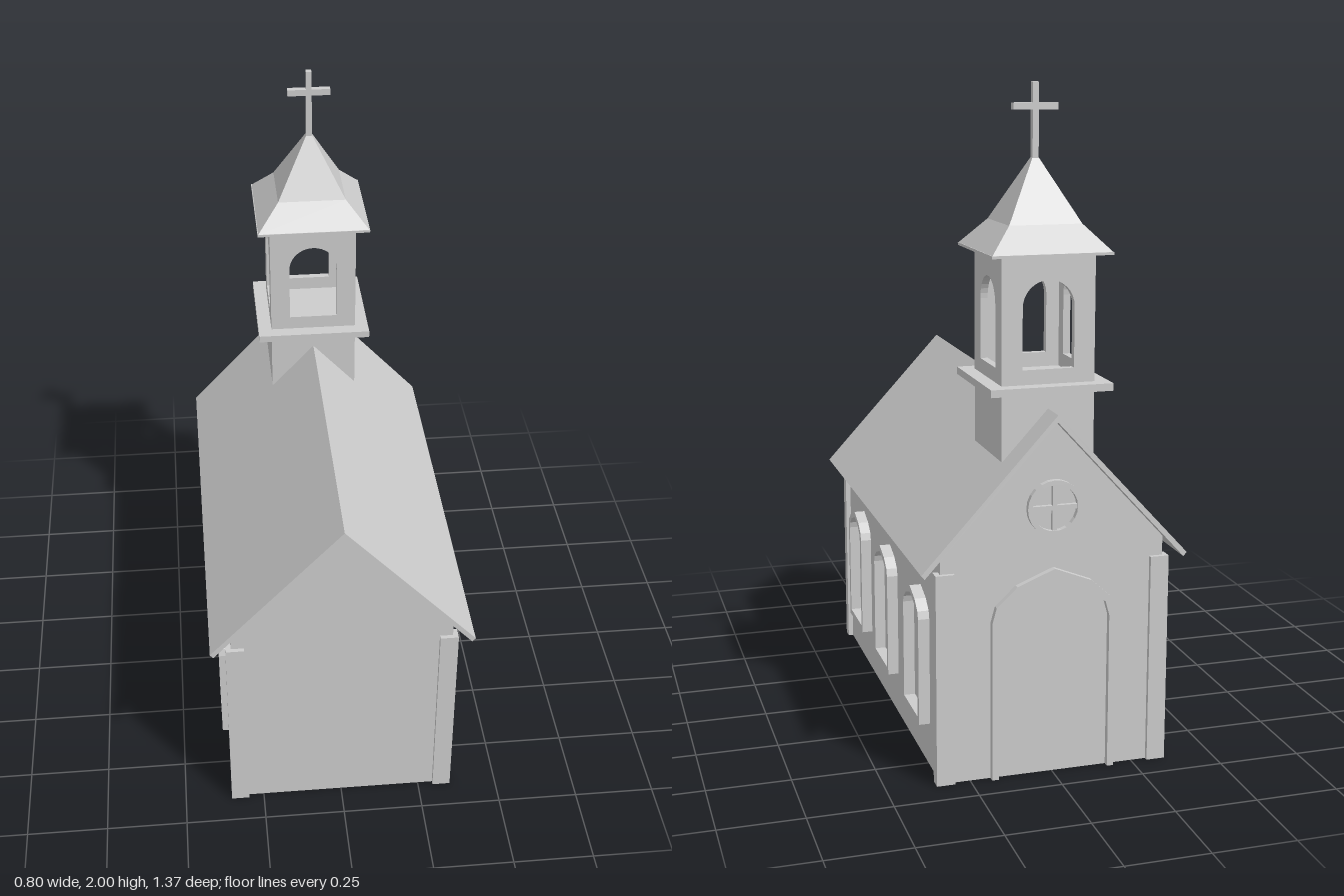
import * as THREE from 'three';

const stone = new THREE.MeshStandardMaterial({ color: 0xcccccc, flatShading: true });
stone.name = 'pale grey';

const TOWER_Z = -0.454;

function add(parent, name, geometry, x = 0, y = 0, z = 0) {
  const mesh = new THREE.Mesh(geometry, stone);
  mesh.name = name;
  mesh.position.set(x, y, z);
  parent.add(mesh);
  return mesh;
}

const box = (w, h, d) => new THREE.BoxGeometry(w, h, d);
const points = (list) => list.map(([x, y]) => new THREE.Vector2(x, y));

function extrude(outline, depth, hole) {
  const shape = new THREE.Shape(outline);
  if (hole) shape.holes.push(new THREE.Path(hole));
  return new THREE.ExtrudeGeometry(shape, { depth, bevelEnabled: false });
}

// Pointed arch outline: half width w, from y0 up to the spring line, then to the apex
function pointedArch(w, y0, spring, apex) {
  const h = apex - spring;
  const right = [[w, y0], [w, spring], [w * 0.93, spring + h * 0.32], [w * 0.6, spring + h * 0.7]];
  const left = right.map(([x, y]) => [-x, y]).reverse();
  return points([...right, [0, apex], ...left]);
}

// Round-headed opening
function roundArch(w, y0, spring) {
  const list = [[-w, y0], [w, y0]];
  for (let i = 0; i <= 16; i++) {
    const a = (Math.PI * i) / 16;
    list.push([w * Math.cos(a), spring + w * Math.sin(a)]);
  }
  return points(list);
}

const circle = (r, n = 24) => points(Array.from({ length: n }, (_, i) => {
  const a = (i / n) * Math.PI * 2;
  return [r * Math.cos(a), r * Math.sin(a)];
}));

function buildNave(group) {
  // Gabled body
  const gable = points([[-0.337, 0], [0.337, 0], [0.337, 0.695], [0, 1.063], [-0.337, 0.695]]);
  add(group, 'body', extrude(gable, 1.3), 0, 0, -0.65);

  // Thin chevron roof
  const roof = points([[0, 1.085], [-0.4, 0.65], [-0.39, 0.638], [0, 1.064], [0.39, 0.638], [0.4, 0.65]]);
  add(group, 'roof', extrude(roof, 1.37), 0, 0, -0.685);

  // Corner boards
  for (const sx of [-1, 1]) {
    for (const sz of [-1, 1]) {
      add(group, 'cornerBoard', box(0.056, 0.637, 0.038), sx * 0.325, 0.3185, sz * 0.644);
    }
  }

  // Side window frames
  const frame = extrude(pointedArch(0.103, 0.135, 0.462, 0.535), 0.04,
    pointedArch(0.086, 0.154, 0.455, 0.516));
  for (const side of [-1, 1]) {
    for (const z of [0.388, -0.01, -0.42]) {
      const mesh = add(group, 'windowFrame', frame, side * 0.331, 0, z);
      mesh.rotation.y = (side * Math.PI) / 2;
    }
  }
}

function buildEntrance(group) {
  const entrance = new THREE.Group();
  entrance.name = 'entrance';
  entrance.position.z = -0.645;
  entrance.rotation.y = Math.PI;
  group.add(entrance);

  // Door surround, open at the ground
  const inner = pointedArch(0.168, 0, 0.472, 0.608).reverse();
  const surround = [...pointedArch(0.188, 0, 0.48, 0.63), ...inner];
  add(entrance, 'doorFrame', extrude(surround, 0.024));

  // Round window with crossed bars
  add(entrance, 'roundWindowRing', extrude(circle(0.082), 0.022, circle(0.068)), 0, 0.81, 0);
  add(entrance, 'roundWindowBar', box(0.014, 0.14, 0.018), 0, 0.81, 0.009);
  add(entrance, 'roundWindowBar', box(0.14, 0.014, 0.018), 0, 0.81, 0.009);
}

function buildTower(group) {
  const tower = new THREE.Group();
  tower.name = 'tower';
  tower.position.z = TOWER_Z;
  group.add(tower);

  // Four pierced walls
  const half = 0.139, thick = 0.022;
  for (let i = 0; i < 4; i++) {
    const w = i % 2 ? half - thick : half;
    const wall = points([[-w, 0.937], [w, 0.937], [w, 1.53], [-w, 1.53]]);
    const geometry = extrude(wall, thick, roundArch(0.077, 1.2, 1.378));
    geometry.translate(0, 0, half - thick);
    add(tower, 'belfryWall', geometry).rotation.y = (i * Math.PI) / 2;
  }
  add(tower, 'belfryPlatform', box(0.364, 0.022, 0.364), 0, 1.146, 0);

  // Flared four-sided spire
  const tier = (name, top, bottom, y0, y1) => {
    const r = Math.SQRT2;
    const geometry = new THREE.CylinderGeometry(top * r, bottom * r, y1 - y0, 4, 1, top === 0 || name === 'spireFlare');
    geometry.rotateY(Math.PI / 4);
    add(tower, name, geometry, 0, (y0 + y1) / 2, 0);
  };
  add(tower, 'spireEave', box(0.358, 0.008, 0.358), 0, 1.528, 0);
  tier('spireFlare', 0.108, 0.177, 1.532, 1.607);
  tier('spireTop', 0, 0.108, 1.607, 1.805);

  // Cross
  add(tower, 'crossPost', box(0.018, 0.23, 0.02), 0, 1.885, 0);
  add(tower, 'crossArm', box(0.134, 0.02, 0.02), 0, 1.932, 0);
}

export function createModel() {
  const group = new THREE.Group();
  group.name = 'chapel';
  buildNave(group);
  buildEntrance(group);
  buildTower(group);
  return group;
}
